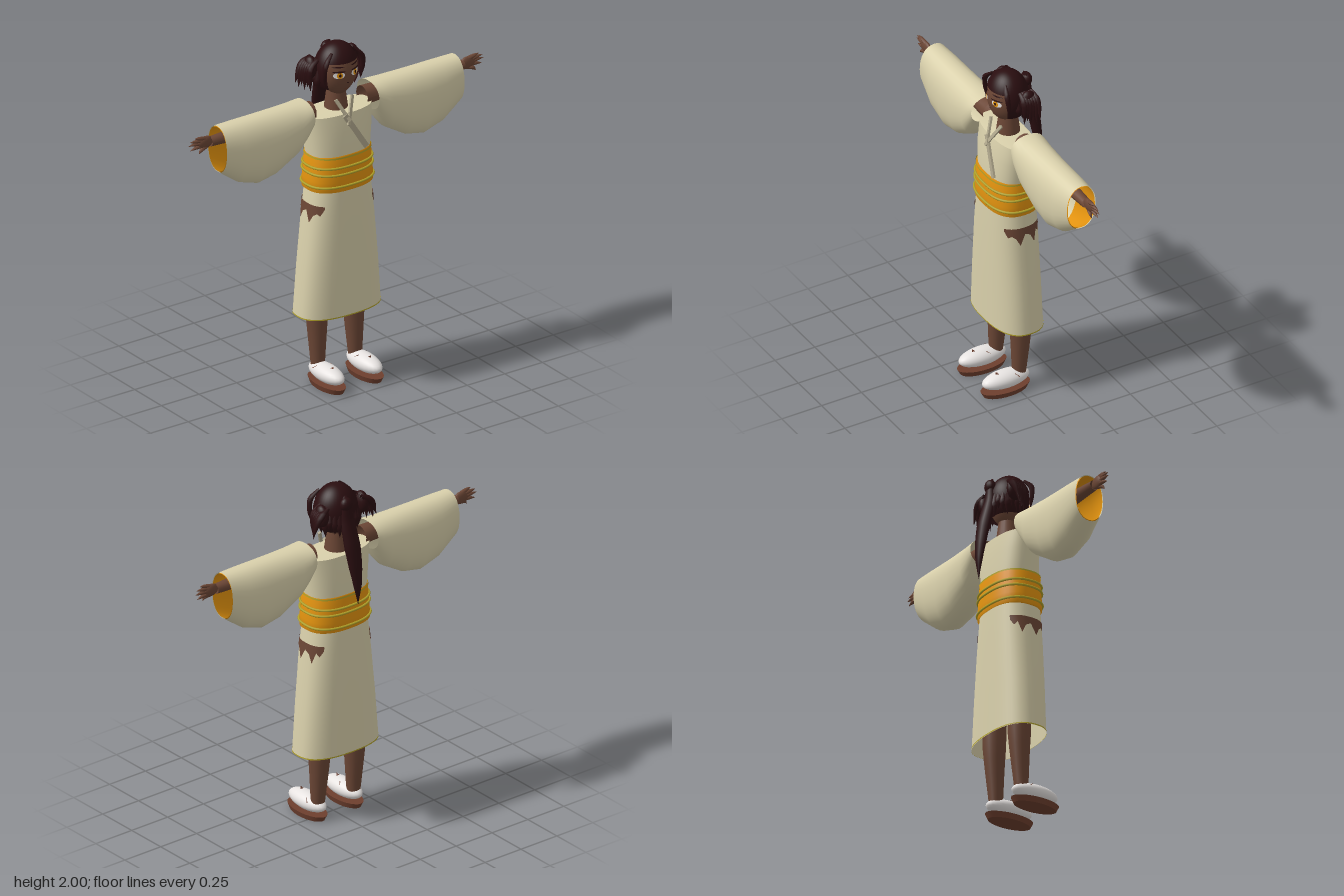
import * as THREE from 'three';

const paint = (name, color) => Object.assign(new THREE.MeshStandardMaterial({ color, side: THREE.DoubleSide }), { name });
const V = (p) => new THREE.Vector3(...p);

// Skin grid through rows of points; rows wrap round when closed
function grid(rows, closed = true) {
  const n = rows[0].length, index = [];
  for (let i = 0; i < rows.length - 1; i++)
    for (let j = 0; j < (closed ? n : n - 1); j++) {
      const k = (j + 1) % n, a = i * n + j, b = i * n + k;
      index.push(a, a + n, b, b, a + n, b + n);
    }
  const g = new THREE.BufferGeometry();
  g.setAttribute('position', new THREE.Float32BufferAttribute(rows.flat(2), 3));
  g.setIndex(index);
  g.computeVertexNormals();
  return g;
}

// Rounded cross-section of the body: section = [y, halfWidth, frontZ, backZ]
const pow = (v, e) => Math.sign(v) * Math.abs(v) ** e;
const bodyPoint = ([y, rx, zf, zb], a, off = 0) => [
  pow(Math.cos(a), 0.8) * (rx + off), y,
  (zf + zb) / 2 + pow(Math.sin(a), 0.8) * ((zf - zb) / 2 + off)];
const bodyRing = (s, off = 0, n = 40) => Array.from({ length: n }, (_, j) => bodyPoint(s, j / n * Math.PI * 2, off));
const body = (sections, off = 0) => grid(sections.map((s) => bodyRing(s, off)));
function sectionAt(sections, y) {
  const i = Math.max(1, sections.findIndex((s) => s[0] >= y));
  const a = sections[i - 1], b = sections[i], t = (y - a[0]) / (b[0] - a[0]);
  return a.map((v, k) => v + (b[k] - v) * t);
}

// Tube whose radius follows a list, optionally flattened
function taper(points, radii, flat = [1, 1, 1], sides = 10, seg = 12) {
  const curve = new THREE.CatmullRomCurve3(points.map(V));
  const g = new THREE.TubeGeometry(curve, seg, 1, sides);
  const p = g.attributes.position, n = g.attributes.normal;
  for (let i = 0; i < p.count; i++) {
    const u = Math.floor(i / (sides + 1)) / seg, c = curve.getPointAt(u);
    const f = u * (radii.length - 1), k = Math.min(Math.floor(f), radii.length - 2);
    const r = radii[k] + (radii[k + 1] - radii[k]) * (f - k);
    p.setXYZ(i, c.x + n.getX(i) * r * flat[0], c.y + n.getY(i) * r * flat[1], c.z + n.getZ(i) * r * flat[2]);
  }
  g.computeVertexNormals();
  return g;
}

// Flat strap between two points
function strap(a, b, w, d) {
  const y = V(b).sub(V(a)), len = y.length();
  y.normalize();
  const x = y.clone().cross(new THREE.Vector3(0, 0, 1)).normalize(), z = x.clone().cross(y);
  const m = new THREE.Matrix4().makeBasis(x, y, z).setPosition(V(a).lerp(V(b), 0.5));
  return new THREE.BoxGeometry(w, len, d).applyMatrix4(m);
}
const ball = (r, c, w = 24, h = 16) => new THREE.SphereGeometry(1, w, h).scale(...r).translate(...c);

function mirrored(geo) {
  const g = geo.clone().scale(-1, 1, 1), ix = g.index;
  for (let i = 0; i < ix.count; i += 3) {
    const t = ix.getX(i);
    ix.setX(i, ix.getX(i + 1));
    ix.setX(i + 1, t);
  }
  return g;
}

// Head surface, shared by the skull and the painted face
const HEAD = { y: 1.845, z: -0.015, rx: 0.117, ry: 0.152, rz: 0.105 };
const jaw = (t) => (t < 0 ? 1 - 0.3 * t * t : 1);
function onFace(geo, off) {
  const p = geo.attributes.position;
  for (let i = 0; i < p.count; i++) {
    const x = p.getX(i), t = (p.getY(i) - HEAD.y) / HEAD.ry;
    p.setZ(i, HEAD.z + off + HEAD.rz * Math.sqrt(Math.max(0, 1 - t * t - (x / HEAD.rx / jaw(t)) ** 2)));
  }
  geo.computeVertexNormals();
  return geo;
}
const faceDisc = (x, y, rx, ry, off) => onFace(new THREE.CircleGeometry(1, 20).scale(rx, ry, 1).translate(x, y, 0), off);

export function createModel() {
  const root = new THREE.Group();
  const skin = paint('skin', 0x6b4635), robe = paint('robe cream', 0xd9d0ab), orange = paint('sash orange', 0xe3930f);
  const cord = paint('cord olive', 0xb3a32a), hair = paint('hair', 0x2a0e10), white = paint('white', 0xeeeae8);
  const trim = paint('collar trim', 0xb0a78c), sole = paint('sole brown', 0x6e3f2e);

  const add = (name, geo, mat) => {
    const m = new THREE.Mesh(geo, mat);
    m.name = name;
    root.add(m);
  };
  const pair = (name, geo, mat) => {
    add(name + 'Left', geo, mat);
    add(name + 'Right', mirrored(geo), mat);
  };

  // Robe
  const skirt = [[0.42, 0.26, 0.13, -0.165], [0.7, 0.238, 0.13, -0.16], [0.98, 0.21, 0.13, -0.155], [1.19, 0.185, 0.125, -0.148]];
  add('skirt', body(skirt), robe);
  add('hem', body([skirt[0], sectionAt(skirt, 0.427)], 0.002), cord);
  const shoulder = [1.608, 0.213, 0.085, -0.12];
  add('torso', body([[1.36, 0.185, 0.115, -0.14], [1.5, 0.2, 0.108, -0.135], shoulder, shoulder,
    [1.613, 0.06, 0.04, -0.07], [1.613, 0.001, 0, -0.01]]), robe);
  add('collarLeft', strap([0.055, 1.69, 0.05], [-0.012, 1.55, 0.112], 0.018, 0.012), trim);
  add('collarRight', strap([-0.055, 1.69, 0.05], [0.0, 1.57, 0.108], 0.018, 0.012), trim);
  add('lapel', strap([-0.025, 1.605, 0.095], [0.098, 1.4, 0.124], 0.03, 0.012), trim);

  // Torn patches at the hips
  const tears = [1.065, 1.03, 1.05, 0.985, 1.035, 1.05, 0.985, 1.03, 1.045, 1.035, 1.075];
  const rip = (y, k) => bodyPoint(sectionAt(skirt, y), -0.75 + k * 0.15, 0.004);
  pair('hipTear', grid([tears.map(rip), tears.map((_, k) => rip(1.09, k))], false), skin);

  // Sash with cords
  const sash = [[1.17, 0.185, 0.12, -0.14], [1.172, 0.203, 0.13, -0.155], [1.23, 0.2, 0.13, -0.155],
    [1.375, 0.188, 0.125, -0.148], [1.38, 0.17, 0.1, -0.13]];
  add('sash', body(sash), orange);
  add('sashEdge', body([sectionAt(sash, 1.366), sash[3]], 0.003), cord);
  for (const [y, tilt] of [[1.312, 0.02], [1.274, -0.01], [1.2, 0.02]]) {
    const path = bodyRing(sectionAt(sash, y), 0.003).map(([x, , z]) => new THREE.Vector3(x, y + tilt * z, z));
    add('sashCord', new THREE.TubeGeometry(new THREE.CatmullRomCurve3(path, true), 80, 0.007, 6, true), cord);
  }

  // Hanging sleeves, each row = [x, bottomY, halfDepth]
  const sleeve = [[0.213, 1.545, 0.105], [0.25, 1.485, 0.112], [0.307, 1.41, 0.115], [0.44, 1.33, 0.115],
    [0.55, 1.307, 0.115], [0.667, 1.344, 0.11], [0.79, 1.434, 0.09]];
  const sleeveRows = (rows, off) => grid(rows.map(([x, b, d]) => Array.from({ length: 32 }, (_, j) => {
    const a = j / 32 * Math.PI * 2;
    return [x, (1.705 + b) / 2 + pow(Math.cos(a), 0.9) * ((1.705 - b) / 2 - off), -0.022 - pow(Math.sin(a), 0.9) * (d - off)];
  })));
  pair('sleeve', sleeveRows(sleeve, 0), robe);
  pair('sleeveLining', sleeveRows(sleeve.slice(4), 0.005), orange);

  // Arms and hands
  pair('arm', taper([[0.17, 1.63, -0.02], [0.5, 1.63, -0.02], [0.84, 1.628, -0.022]], [0.055, 0.045, 0.028], [1, 1, 1], 16), skin);
  pair('palm', ball([0.05, 0.037, 0.018], [0.872, 1.632, -0.022]), skin);
  for (const [y, tx, ty, z] of [[1.655, 0.943, 1.672, -0.018], [1.643, 0.972, 1.655, -0.022], [1.63, 0.98, 1.634, -0.024],
    [1.617, 0.967, 1.604, -0.024], [1.608, 0.92, 1.577, -0.012]])
    pair('finger', taper([[0.865, y, -0.022], [(0.89 + tx) / 2, (y + ty) / 2 + 0.003, z], [tx, ty, z]],
      [0.012, 0.012, 0.01, 0.001], [1, 1, 1], 8, 8), skin);

  // Legs and shoes
  pair('leg', taper([[0.12, 1.1, -0.02], [0.122, 0.42, -0.032], [0.124, 0.09, -0.02]], [0.075, 0.072, 0.064, 0.038], [1, 1, 1], 18), skin);
  pair('shoe', ball([0.062, 0.05, 0.145], [0.126, 0.08, 0.065]), white);
  pair('sole', new THREE.CylinderGeometry(0.07, 0.062, 0.032, 28).scale(1, 1, 2.15).translate(0.126, 0.016, 0.067), sole);
  for (const [x, y, z] of [[0.125, 0.127, 0.12], [0.165, 0.108, 0.02], [0.09, 0.114, 0.05]])
    pair('shoeTear', new THREE.ConeGeometry(0.018, 0.03, 3).rotateX(0.6).translate(x, y, z), sole);

  // Neck and head
  add('neck', new THREE.CylinderGeometry(0.046, 0.068, 0.17, 20).translate(0, 1.68, -0.025), skin);
  const head = new THREE.SphereGeometry(1, 36, 28), hp = head.attributes.position;
  for (let i = 0; i < hp.count; i++) hp.setX(i, hp.getX(i) * jaw(hp.getY(i)));
  add('head', head.scale(HEAD.rx, HEAD.ry, HEAD.rz).translate(0, HEAD.y, HEAD.z), skin);

  // Face
  pair('eyeWhite', faceDisc(0.052, 1.845, 0.03, 0.02, 0.003), white);
  pair('iris', faceDisc(0.05, 1.845, 0.015, 0.019, 0.005), orange);
  pair('pupil', faceDisc(0.05, 1.845, 0.006, 0.009, 0.007), hair);
  pair('lash', faceDisc(0.053, 1.866, 0.034, 0.005, 0.006), hair);
  pair('eyebrow', faceDisc(0.053, 1.892, 0.032, 0.004, 0.004), hair);
  add('nose', faceDisc(0, 1.793, 0.006, 0.004, 0.004), hair);
  add('mouth', faceDisc(0, 1.752, 0.018, 0.003, 0.003), sole);

  // Hair cap, back shell and spiky ends
  const shell = (...range) => new THREE.SphereGeometry(1, 36, 12, ...range).scale(0.128, 0.155, 0.117).translate(0, 1.845, -0.02);
  add('hairCap', shell(0, Math.PI * 2, 0, 1.15), hair);
  add('hairBack', shell(Math.PI * 0.82, Math.PI * 1.36, 1.1, 1.15), hair);
  for (let i = 0; i < 15; i++) {
    const a = Math.PI * (1.0 + i / 14), c = Math.cos(a), s = Math.sin(a);
    const low = 1.725 + 0.02 * (i % 3);
    add('backStrand', taper([[c * 0.118, 1.86, -0.02 + s * 0.108], [c * 0.125, 1.79, -0.02 + s * 0.115],
      [c * 0.12, low, -0.02 + s * 0.112]], [0.01, 0.02, 0], [1, 1, 1], 6, 8), hair);
  }

  // Side tufts and face locks
  pair('sideTuft', ball([0.035, 0.065, 0.05], [0.138, 1.865, -0.07], 16, 12), hair);
  for (let i = 0; i < 6; i++)
    pair('tuftStrand', taper([[0.115, 1.915, -0.03 - i * 0.014], [0.16 + i * 0.003, 1.875, -0.035 - i * 0.014],
      [0.165 + i * 0.011, 1.735 + (i % 2) * 0.02 + i * 0.004, -0.03 - i * 0.014]], [0.01, 0.022, 0.014, 0], [1, 1, 1], 6, 10), hair);
  pair('faceLock', taper([[0.07, 1.965, 0.035], [0.118, 1.915, 0.05], [0.128, 1.85, 0.045], [0.118, 1.77, 0.04]],
    [0.008, 0.016, 0.013, 0], [1, 1, 1], 6), hair);

  // Ponytail
  add('ponytailKnot', ball([0.038, 0.04, 0.03], [0.015, 1.92, -0.13], 16, 12), hair);
  add('ponytail', taper([[0.015, 1.9, -0.1], [0.015, 1.95, -0.128], [0.012, 1.82, -0.14], [0.008, 1.65, -0.183],
    [0.002, 1.48, -0.21], [0, 1.34, -0.215]], [0.015, 0.03, 0.046, 0.05, 0.042, 0.026, 0], [1, 1, 0.6], 12, 24), hair);
  return root;
}
